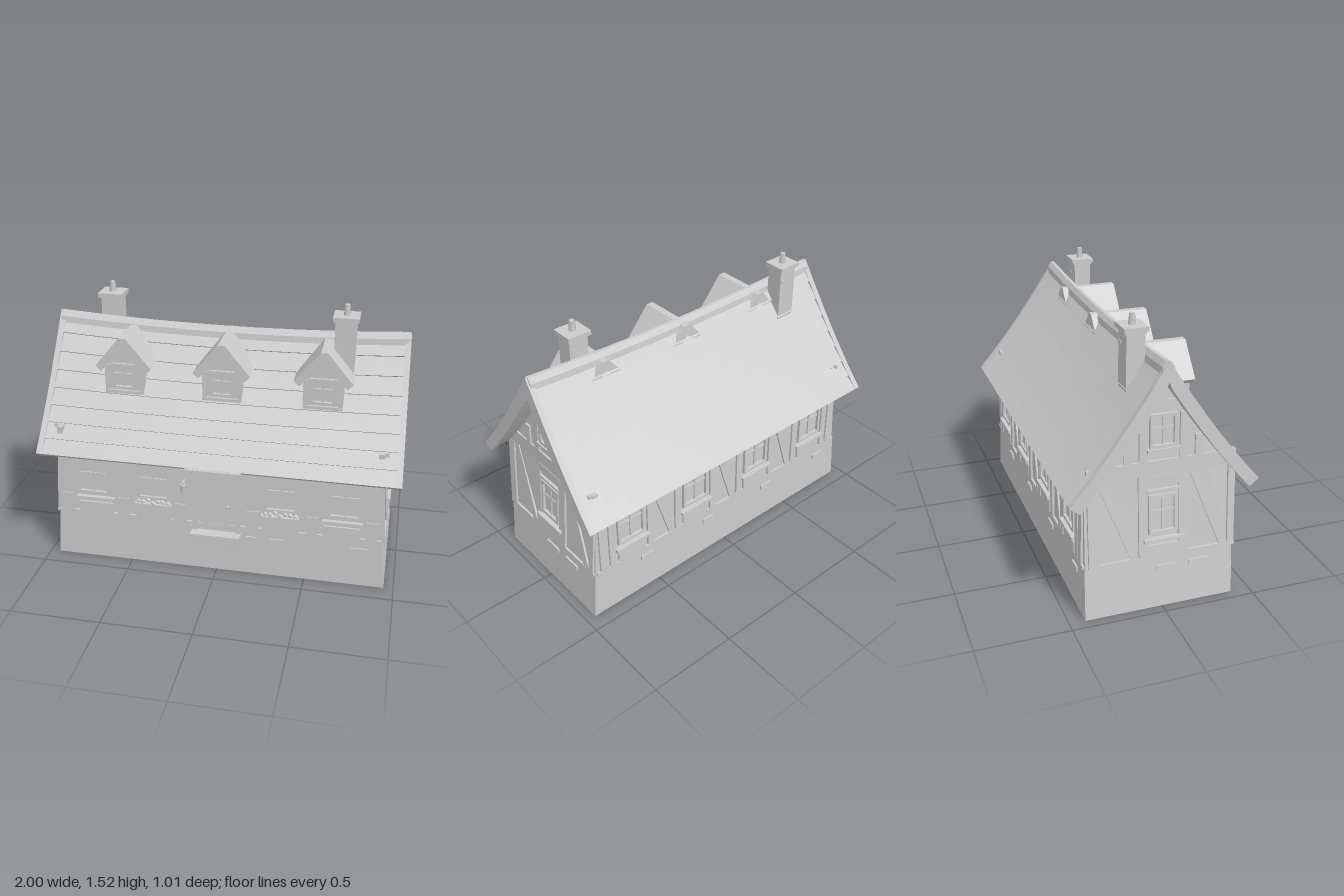
import * as THREE from 'three';

const stone = new THREE.MeshStandardMaterial({ color: 0xcccccc, side: THREE.DoubleSide });
stone.name = 'plain grey';

// Distance of each leaning wall plane from the centre at height y
const frontOff = y => 0.393 - 0.012 * y;
const backOff = y => 0.413 - 0.015 * y;
const gableOff = y => (y < 0.66 ? 0.945 - 0.08 * y : 0.892 - 0.03 * (y - 0.66));

function add(parent, name, geo) {
  const mesh = new THREE.Mesh(geo, stone);
  mesh.name = name;
  parent.add(mesh);
  return mesh;
}

// Moves every vertex by a rule and rebuilds flat normals
function deform(geo, rule) {
  const g = geo.index ? geo.toNonIndexed() : geo;
  const p = g.attributes.position, v = new THREE.Vector3();
  for (let i = 0; i < p.count; i++) {
    v.fromBufferAttribute(p, i);
    rule(v);
    p.setXYZ(i, v.x, v.y, v.z);
  }
  g.computeVertexNormals();
  return g;
}

function box(parent, name, x, y, z, w, h, d) {
  return add(parent, name, new THREE.BoxGeometry(w, h, d).translate(x, y, z));
}

const polygon = pts => new THREE.Shape(pts.map(p => new THREE.Vector2(p[0], p[1])));

// Extrudes a (z, y) section along x, centred on x = 0
function alongX(pts, length, steps = 1) {
  return new THREE.ExtrudeGeometry(polygon(pts), { depth: length, steps, bevelEnabled: false })
    .translate(0, 0, -length / 2).rotateY(Math.PI / 2);
}

function face(root, name, angle, off) {
  const g = new THREE.Group();
  g.name = name;
  g.rotation.y = angle;
  g.userData.off = off;
  root.add(g);
  return g;
}

// Plate on a wall, given by its edges, standing out by d; lean shifts its foot sideways
function bar(f, name, u0, u1, y0, y1, d = 0.012, lean = 0) {
  const h = y1 - y0, off = f.userData.off;
  const geo = new THREE.BoxGeometry(u1 - u0, h, d + 0.02)
    .translate((u0 + u1) / 2, (y0 + y1) / 2, (d - 0.02) / 2);
  return add(f, name, deform(geo, v => {
    v.x += lean * (y1 - v.y) / h;
    v.z += off(v.y);
  }));
}

function windowOn(f, u0, u1, y0, y1) {
  const t = 0.018, c = (u0 + u1) / 2, m = y0 + (y1 - y0) * 0.58;
  bar(f, 'windowFrame', u0, u0 + t, y0, y1, 0.016);
  bar(f, 'windowFrame', u1 - t, u1, y0, y1, 0.016);
  bar(f, 'windowFrame', u0 + t, u1 - t, y0, y0 + t, 0.016);
  bar(f, 'windowFrame', u0 + t, u1 - t, y1 - t, y1, 0.016);
  bar(f, 'glazingBar', c - 0.006, c + 0.006, y0 + t, y1 - t, 0.008);
  bar(f, 'glazingBar', u0 + t, u1 - t, m - 0.006, m + 0.006, 0.008);
}

// Main roof outline: t = 0 at the ridge, 1 at the eave; n is the offset outwards
function slope(t, n, side) {
  return [side * (0.485 * t + 0.8 * n * Math.min(1, t * 8)),
    1.34 - 0.66 * t - 0.11 * t * (1 - t) + (t < 0.1 ? 1.6 : 0.6) * n];
}

// Ridge sag and slight narrowing towards the top
function sag(v) {
  const h = Math.max(0, (v.y - 0.66) / 0.7);
  v.y -= 0.035 * (1 - v.x * v.x) * h;
  v.x *= 1 - 0.018 * h;
  v.z -= 0.01;
}

function chevron(outer, inner, n) {
  const top = [], under = [];
  for (let i = -n; i <= n; i++) {
    const t = Math.abs(i) / n, s = Math.sign(i);
    top.push(slope(t, outer, s));
    under.unshift(slope(t, inner, s));
  }
  return [...top, ...under];
}

function addRoof(root) {
  // Lapped courses
  const courses = 8, right = [];
  for (let i = 0; i < courses; i++) {
    right.push(slope(i / courses, 0, 1), slope((i + 1) / courses, 0.014, 1));
  }
  right.push(slope(1, -0.035, 1));
  const left = right.slice(1).reverse().map(p => [-p[0], p[1]]);
  const under = [];
  for (let i = 7; i >= -7; i--) under.push(slope(Math.abs(i) / 8, -0.045, Math.sign(i)));
  add(root, 'roofCourses', deform(alongX([...left, ...right, ...under], 1.95, 16), sag));

  // Curved gable boards
  for (const s of [-1, 1]) {
    const geo = alongX(chevron(0.014, -0.05, 8), 0.032).translate(s * 0.984, 0, 0);
    add(root, 'bargeBoard', deform(geo, sag));
  }
  // Ridge cap
  const cap = [[-0.035, 1.3], [-0.03, 1.335], [-0.01, 1.362], [0.01, 1.362], [0.03, 1.335], [0.035, 1.3]];
  add(root, 'ridgeCap', deform(alongX(cap, 1.98, 16), sag));
  // Pegs near the eaves
  for (const x of [-0.91, 0.91]) for (const z of [0.367, -0.387]) box(root, 'roofPeg', x, 0.815, z, 0.02, 0.02, 0.02);
}

function addDormer(root, x) {
  const d = face(root, 'dormer', 0, () => 0.232);
  d.position.x = x;
  const body = polygon([[-0.107, 0.985], [0.107, 0.985], [0.107, 1.15], [0, 1.27], [-0.107, 1.15]]);
  add(d, 'dormerBody', new THREE.ExtrudeGeometry(body, { depth: 0.23, bevelEnabled: false }));
  const roof = polygon([[-0.158, 1.14], [-0.128, 1.112], [0, 1.25], [0.128, 1.112], [0.158, 1.14], [0.02, 1.308], [-0.02, 1.308]]);
  add(d, 'dormerRoof', new THREE.ExtrudeGeometry(roof, { depth: 0.325, bevelEnabled: false }).translate(0, 0, -0.075));
  windowOn(d, -0.068, 0.068, 1.01, 1.16);
  bar(d, 'dormerSill', -0.107, 0.107, 0.985, 1.003, 0.014);
  for (const s of [-1, 1]) bar(d, 'dormerPost', s * 0.095 - 0.012, s * 0.095 + 0.012, 1.003, 1.15, 0.01);
}

function addChimney(root, x, z) {
  const c = new THREE.Group();
  c.name = 'chimney';
  c.position.set(x, 0, z);
  root.add(c);
  box(c, 'chimneyStack', 0, 1.21, 0, 0.112, 0.48, 0.096);
  box(c, 'chimneyCap', 0, 1.452, 0, 0.138, 0.024, 0.128);
  box(c, 'chimneyCollar', 0, 1.436, 0, 0.124, 0.012, 0.108);
  add(c, 'chimneyPot', new THREE.CylinderGeometry(0.015, 0.021, 0.062, 6).translate(0, 1.49, 0));
  for (const [y, s] of [[1.37, 1], [1.25, -1]]) box(c, 'chimneyBrick', s * 0.03, y, -s * 0.045, 0.035, 0.02, 0.014);
}

function addGable(f) {
  for (const [a, b] of [[-0.39, -0.338], [-0.124, -0.08], [0.09, 0.147], [0.362, 0.4]]) bar(f, 'gablePost', a, b, 0.3, 0.74);
  bar(f, 'gableBeam', -0.385, 0.4, 0.74, 0.82);
  bar(f, 'gableSillBeam', -0.39, 0.405, 0.285, 0.302);
  for (const u of [-0.338, 0.147]) bar(f, 'gableBrace', u, u + 0.045, 0.302, 0.74, 0.011, 0.17);
  windowOn(f, -0.07, 0.085, 0.42, 0.635);
  bar(f, 'windowSill', -0.1, 0.12, 0.385, 0.4, 0.03);
  bar(f, 'lintel', -0.08, 0.1, 0.65, 0.665, 0.02);
  bar(f, 'lowerPanel', -0.08, 0.1, 0.302, 0.36);
  bar(f, 'upperPanel', -0.08, 0.1, 0.69, 0.74, 0.015);
  // Upper storey
  windowOn(f, -0.065, 0.08, 0.885, 1.065);
  bar(f, 'atticSill', -0.08, 0.096, 0.868, 0.885, 0.024);
  for (const c of [-0.1, 0.115]) bar(f, 'atticPost', c - 0.02, c + 0.02, 0.82, 1.06);
  for (const c of [-0.18, 0.195]) bar(f, 'atticPost', c - 0.018, c + 0.018, 0.82, 0.93);
  bar(f, 'atticCollar', -0.075, 0.09, 1.075, 1.135);
  bar(f, 'kingPost', -0.01, 0.025, 1.135, 1.22);
  for (const u of [-0.03, 0.15]) bar(f, 'plinthBrick', u, u + 0.105, 0.212, 0.24, 0.012);
}

function addFront(f) {
  for (const s of [-1, 1]) {
    for (const [c, w] of [[0.86, 0.055], [0.535, 0.05], [0.205, 0.06]]) {
      bar(f, 'frontPost', s * c - w / 2, s * c + w / 2, 0.3, 0.67);
      bar(f, 'postFoot', s * c - w / 2 - 0.004, s * c + w / 2 + 0.004, 0.3, 0.41, 0.018);
    }
    for (const c of [0.71, 0.36]) windowOn(f, s * c - 0.095, s * c + 0.095, 0.417, 0.635);
    bar(f, 'windowSill', s * 0.7 - 0.11, s * 0.7 + 0.11, 0.378, 0.4, 0.025);
    for (const c of [0.7, 0.36]) bar(f, 'lowerPanel', s * c - 0.1, s * c + 0.1, 0.3, 0.362);
    // Flower boxes
    bar(f, 'flowerBox', s * 0.36 - 0.105, s * 0.36 + 0.105, 0.368, 0.398, 0.036);
    for (let i = 0; i < 7; i++) {
      add(f, 'flower', new THREE.IcosahedronGeometry(0.014, 0)
        .translate(s * 0.36 - 0.084 + i * 0.028, 0.405 + (i % 3) * 0.005, 0.405 + (i % 2) * 0.01));
    }
    // Brackets under the door hood
    const brace = polygon([[-0.385, 0.6], [-0.385, 0.625], [-0.475, 0.68], [-0.485, 0.665]]);
    add(f, 'hoodBracket', new THREE.ExtrudeGeometry(brace, { depth: 0.018, bevelEnabled: false })
      .rotateY(Math.PI / 2).translate(s * 0.13 - 0.009, 0, 0));
    bar(f, 'doorPost', s * 0.122 - 0.013, s * 0.122 + 0.013, 0.257, 0.65, 0.016);
  }
  bar(f, 'topBeam', -0.885, 0.885, 0.648, 0.69, 0.01);
  bar(f, 'frontSillBeam', -0.915, 0.915, 0.285, 0.302);
  bar(f, 'door', -0.107, 0.107, 0.257, 0.625, 0.006);
  for (const u of [-0.054, 0, 0.054]) bar(f, 'doorBatten', u - 0.022, u + 0.022, 0.28, 0.61, 0.011);
  add(f, 'doorKnob', new THREE.SphereGeometry(0.009, 8, 6).translate(0.065, 0.42, 0.405));
  box(f, 'doorHood', 0, 0.678, 0.45, 0.305, 0.016, 0.11);
  box(f, 'doorStep', 0, 0.213, 0.42, 0.28, 0.086, 0.076);
  // Lantern beside the door
  add(f, 'lantern', new THREE.CylinderGeometry(0.018, 0.013, 0.045, 6).translate(-0.18, 0.53, 0.432));
  box(f, 'lanternArm', -0.18, 0.56, 0.415, 0.012, 0.01, 0.06);
  for (const [a, b] of [[0.17, 0.23], [0.305, 0.38], [0.745, 0.845]]) bar(f, 'plinthBrick', a, b, 0.212, 0.24, 0.012);
}

function addBack(f) {
  for (const c of [-0.68, -0.23, 0.23, 0.68]) {
    windowOn(f, c - 0.09, c + 0.09, 0.417, 0.635);
    bar(f, 'windowSill', c - 0.11, c + 0.11, 0.382, 0.4, 0.03);
    bar(f, 'lowerPanel', c - 0.09, c + 0.09, 0.302, 0.36);
    for (const s of [-1, 1]) bar(f, 'backPost', c + s * 0.128 - 0.02, c + s * 0.128 + 0.02, 0.302, 0.69);
    bar(f, 'plinthBrick', c + 0.06, c + 0.14, 0.212, 0.24, 0.012);
  }
  for (const c of [-0.455, 0, 0.455]) bar(f, 'backBrace', c - 0.077, c - 0.035, 0.302, 0.66, 0.011, 0.11);
  for (const s of [-1, 1]) bar(f, 'cornerPost', s * 0.865 - 0.025, s * 0.865 + 0.025, 0.302, 0.69);
  bar(f, 'backTopBeam', -0.885, 0.885, 0.655, 0.69, 0.01);
  bar(f, 'backSillBeam', -0.915, 0.915, 0.285, 0.302);
}

export function createModel() {
  const root = new THREE.Group();
  root.name = 'cottage';

  // Hollow plinth, open underneath, with a raised floor
  const shell = new THREE.CylinderGeometry(Math.SQRT1_2, Math.SQRT1_2, 0.29, 4, 1, true).rotateY(Math.PI / 4);
  add(root, 'plinth', deform(shell, v => {
    v.y += 0.145;
    v.x = Math.sign(v.x) * (gableOff(v.y) + 0.002);
    v.z = v.z > 0 ? frontOff(v.y) + 0.003 : -backOff(v.y) - 0.003;
  }));
  add(root, 'floor', new THREE.PlaneGeometry(1.84, 0.796).rotateX(Math.PI / 2).translate(0, 0.25, -0.01));

  // Upper walls with gables; section x is -z
  const section = [[-0.39, 0.25], [0.409, 0.25], [0.403, 0.7], [0.21, 0.97], [0.01, 1.25], [-0.19, 0.97], [-0.385, 0.7]];
  add(root, 'walls', deform(alongX(section, 2), v => { v.x *= gableOff(v.y); }));

  addFront(face(root, 'frontWall', 0, frontOff));
  addBack(face(root, 'backWall', Math.PI, backOff));
  addGable(face(root, 'leftGable', Math.PI / 2, gableOff));
  addGable(face(root, 'rightGable', -Math.PI / 2, gableOff));

  addRoof(root);
  for (const x of [-0.548, 0, 0.548]) addDormer(root, x);
  addChimney(root, 0.64, 0.068);
  addChimney(root, -0.695, -0.09);
  return root;
}
